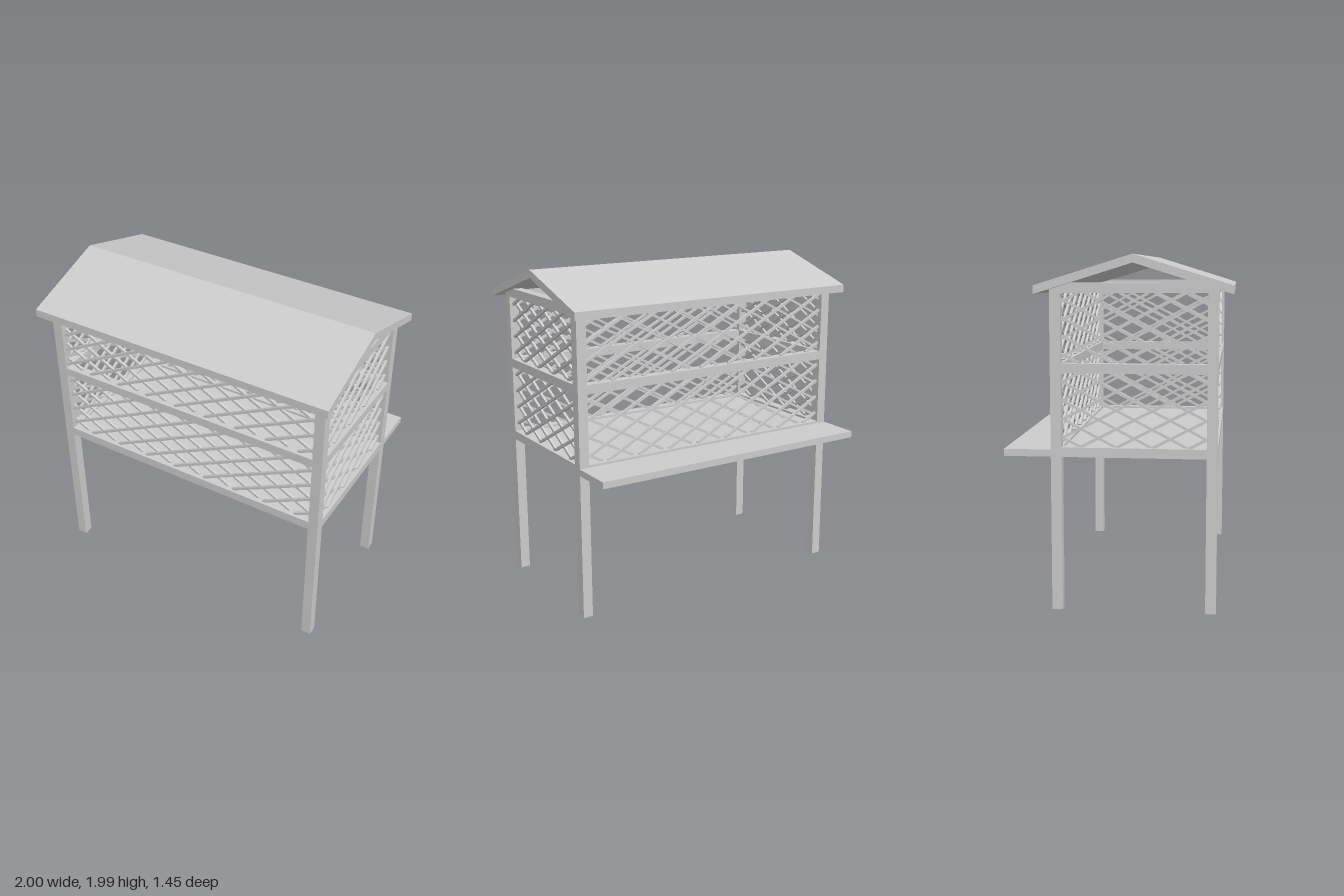
import * as THREE from 'three';

const mat = new THREE.MeshStandardMaterial({ color: 0xcccccc, flatShading: true });
const HX = 0.87, HZ = 0.432, POST = 0.06; // post centre lines and thickness

function box(parent, name, w, h, d, x, y, z) {
  const mesh = new THREE.Mesh(new THREE.BoxGeometry(w, h, d), mat);
  mesh.name = name;
  mesh.position.set(x, y, z);
  parent.add(mesh);
  return mesh;
}

// Crossed diagonal wires, clipped to a w x h rectangle in the XY plane
function lattice(w, h) {
  const group = new THREE.Group();
  group.name = 'latticePanel';
  const slope = 0.52, wire = 0.015;
  const count = Math.max(2, Math.round((w + h / slope) / 0.2));
  const step = (w + h / slope) / count;
  for (const dir of [1, -1]) {
    for (let i = 0; i < count; i++) {
      // wire follows x = c + y / slope before mirroring
      const c = -(w + h / slope) / 2 + (i + 0.5) * step;
      const y0 = Math.max(-h / 2, (-w / 2 - c) * slope);
      const y1 = Math.min(h / 2, (w / 2 - c) * slope);
      if (y1 - y0 < 0.005) continue;
      const x0 = c + y0 / slope, x1 = c + y1 / slope;
      const bar = box(group, 'wire', Math.hypot(x1 - x0, y1 - y0), wire, wire,
        dir * (x0 + x1) / 2, (y0 + y1) / 2, dir * 0.006);
      bar.rotation.z = dir * Math.atan(slope);
    }
  }
  return group;
}

export function createModel() {
  const model = new THREE.Group();
  model.name = 'hutch';
  const hutch = new THREE.Group();
  hutch.name = 'hutchBody';
  hutch.position.z = 0.085;
  hutch.rotation.y = -0.105; // stands slightly turned
  model.add(hutch);

  // Corner posts
  for (const sx of [-1, 1]) for (const sz of [-1, 1]) {
    box(hutch, 'cornerPost', POST, 1.82, POST, sx * HX, 0.91, sz * HZ);
  }

  // Three rings of rails
  for (const y of [0.904, 1.369, 1.808]) {
    for (const s of [-1, 1]) {
      box(hutch, 'longRail', 2 * HX - POST, 0.054, POST, 0, y, s * HZ);
      box(hutch, 'endRail', POST, 0.054, 2 * HZ - POST, s * HX, y, 0);
    }
  }

  // Lattice panels on all four sides, on both storeys
  for (const [y0, y1] of [[0.931, 1.342], [1.396, 1.781]]) {
    for (const s of [-1, 1]) {
      const long = lattice(2 * HX - POST, y1 - y0);
      long.position.set(0, (y0 + y1) / 2, s * HZ);
      const end = lattice(2 * HZ - POST, y1 - y0);
      end.position.set(s * HX, (y0 + y1) / 2, 0);
      end.rotation.y = Math.PI / 2;
      hutch.add(long, end);
    }
  }

  // Floor and the ledge along the back
  box(hutch, 'floor', 2 * HX - POST, 0.03, 2 * HZ - POST, 0, 0.902, 0);
  box(hutch, 'backLedge', 2 * HX + POST, 0.04, 0.264, 0, 0.897, -0.594);

  // Gabled roof: chevron section, open underneath
  const e = 0.541;
  const section = new THREE.Shape([
    [-e, 1.775], [0, 1.943], [e, 1.775], [e, 1.822], [0, 1.99], [-e, 1.822],
  ].map(([x, y]) => new THREE.Vector2(x, y)));
  const roofGeo = new THREE.ExtrudeGeometry(section, { depth: 1.896, bevelEnabled: false });
  roofGeo.translate(0, 0, -0.948);
  const roof = new THREE.Mesh(roofGeo, mat);
  roof.name = 'roof';
  roof.rotation.y = Math.PI / 2;
  hutch.add(roof);

  return model;
}
